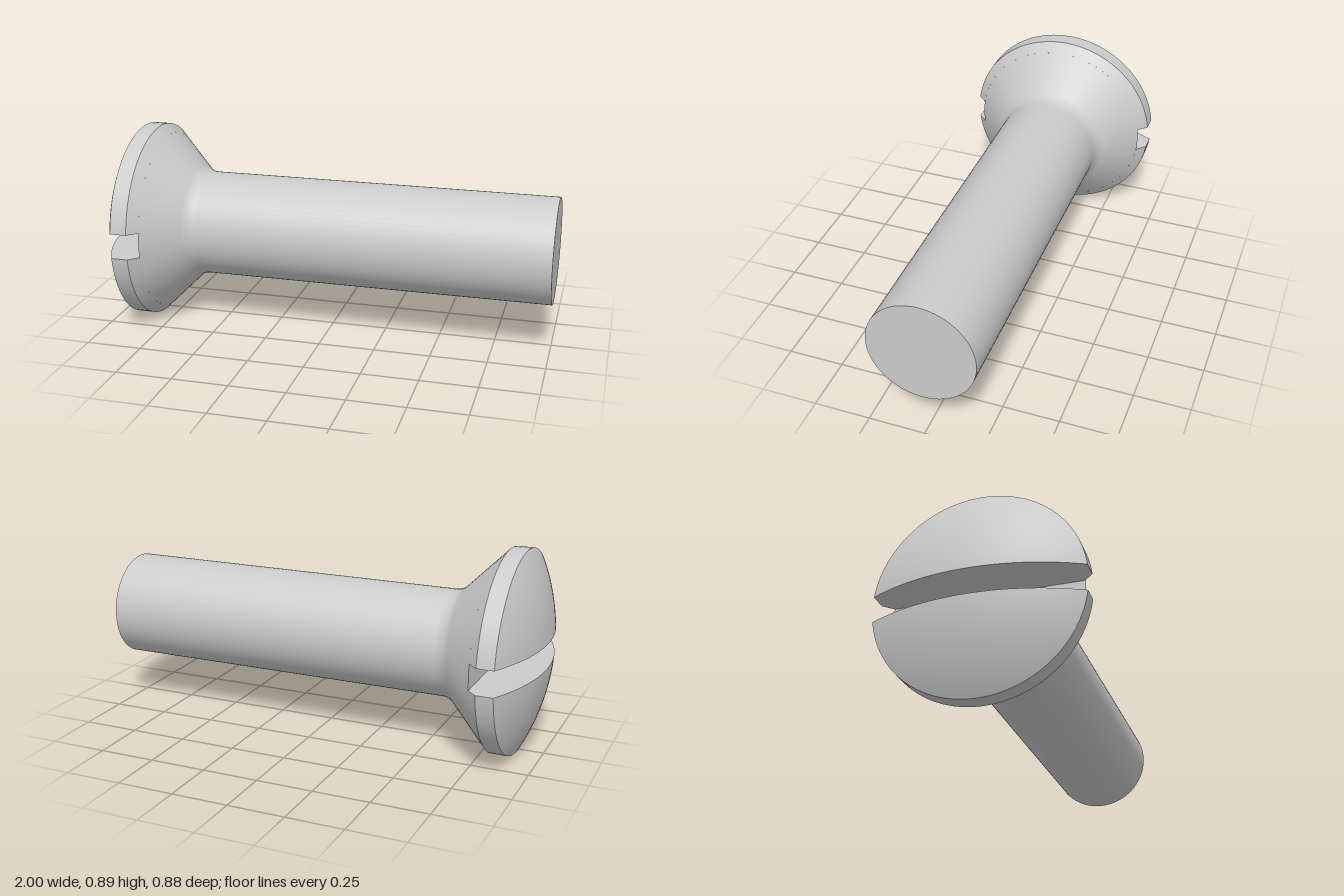
import * as THREE from 'three';

// All parts lie along x; the screw axis is the group's local x axis.
const HEAD_R = 0.444, SHAFT_R = 0.235, SLOT = 0.056; // SLOT is half the slot width
const X_TOP = -1, X_RIM = -0.89, X_CONE = -0.815, X_FLOOR = -0.775, X_END = 1;
const FLOOR_R = HEAD_R - (X_FLOOR - X_CONE); // 45 degree countersink
const SEGMENTS = 64;

const material = new THREE.MeshStandardMaterial({ color: 0xcccccc });

function mesh(name, geometry) {
  const m = new THREE.Mesh(geometry, material);
  m.name = name;
  return m;
}

// Part of a turned surface lying above the slot wall; rows are [x, r, normalX, normalR]
function sectorGeometry(rows) {
  const n = SEGMENTS / 2, pos = [], nor = [], index = [];
  rows.forEach(([x, r, nx, nr], i) => {
    const a0 = Math.asin(Math.min(1, SLOT / r));
    for (let j = 0; j <= n; j++) {
      const a = a0 + (Math.PI - 2 * a0) * j / n;
      pos.push(x, r * Math.sin(a), r * Math.cos(a));
      nor.push(nx, nr * Math.sin(a), nr * Math.cos(a));
      if (i > 0 && j < n) {
        const q = i * (n + 1) + j, p = q - n - 1;
        index.push(p, q, p + 1, p + 1, q, q + 1);
      }
    }
  });
  const g = new THREE.BufferGeometry();
  g.setAttribute('position', new THREE.Float32BufferAttribute(pos, 3));
  g.setAttribute('normal', new THREE.Float32BufferAttribute(nor, 3));
  g.setIndex(index);
  return g;
}

// One half of the slotted head: dome, rim, start of the countersink and slot wall
function headHalf(name) {
  const half = new THREE.Group();
  half.name = name;

  const sag = X_RIM - X_TOP;
  const R = (HEAD_R ** 2 + sag ** 2) / (2 * sag);
  const cx = X_TOP + R;
  const zMax = Math.sqrt(HEAD_R ** 2 - SLOT ** 2);
  const dome = [];
  for (let i = 0; i <= 16; i++) {
    const r = Math.hypot(SLOT, zMax * i / 16);
    const x = cx - Math.sqrt(R * R - r * r);
    dome.push([x, r, (x - cx) / R, r / R]);
  }
  const rim = [[X_RIM, HEAD_R, 0, 1], [X_CONE, HEAD_R, 0, 1]];
  const d = Math.SQRT1_2;
  const cone = [[X_CONE, HEAD_R, d, d], [X_FLOOR, FLOOR_R, d, d]];

  // Flat slot wall outlined by the same profile
  const side = [...dome, rim[1], cone[1]].map(([x, r]) =>
    new THREE.Vector2(x, Math.sqrt(Math.max(0, r * r - SLOT * SLOT))));
  const mirrored = side.slice(1).reverse().map(p => new THREE.Vector2(p.x, -p.y));
  const wall = new THREE.ShapeGeometry(new THREE.Shape([...side, ...mirrored]));
  wall.rotateX(Math.PI / 2).translate(0, SLOT, 0);

  half.add(
    mesh('headDome', sectorGeometry(dome)),
    mesh('headRim', sectorGeometry(rim)),
    mesh('headCone', sectorGeometry(cone)),
    mesh('slotWall', wall)
  );
  return half;
}

export function createModel() {
  const screw = new THREE.Group();
  screw.name = 'screw';

  const upper = headHalf('upperHeadHalf');
  const lower = headHalf('lowerHeadHalf');
  lower.rotation.x = Math.PI;

  // Slot floor: a strip with rounded ends
  const a = Math.asin(SLOT / FLOOR_R);
  const strip = new THREE.Shape();
  strip.absarc(0, 0, FLOOR_R, -a, a);
  strip.absarc(0, 0, FLOOR_R, Math.PI - a, Math.PI + a);
  const floor = new THREE.ShapeGeometry(strip, 6);
  floor.rotateY(-Math.PI / 2).translate(X_FLOOR, 0, 0);

  // Countersink blending through a fillet into the shank
  const t = 0.04, fillet = t / Math.tan(Math.PI / 8);
  const xf = X_CONE + HEAD_R - SHAFT_R + t;
  const profile = [new THREE.Vector2(FLOOR_R, X_FLOOR)];
  for (let i = 0; i <= 6; i++) {
    const b = Math.PI / 4 * (1 - i / 6);
    profile.push(new THREE.Vector2(
      SHAFT_R + fillet * (1 - Math.cos(b)), xf - fillet * Math.sin(b)));
  }
  profile.push(new THREE.Vector2(SHAFT_R, X_END));
  const shank = new THREE.LatheGeometry(profile, SEGMENTS);
  shank.rotateZ(-Math.PI / 2);

  const end = new THREE.CircleGeometry(SHAFT_R, SEGMENTS);
  end.rotateY(Math.PI / 2).translate(X_END, 0, 0);

  screw.add(upper, lower, mesh('slotFloor', floor), mesh('shank', shank), mesh('shankEnd', end));
  screw.position.y = HEAD_R;

  const model = new THREE.Group();
  model.name = 'slottedScrew';
  model.add(screw);
  return model;
}
